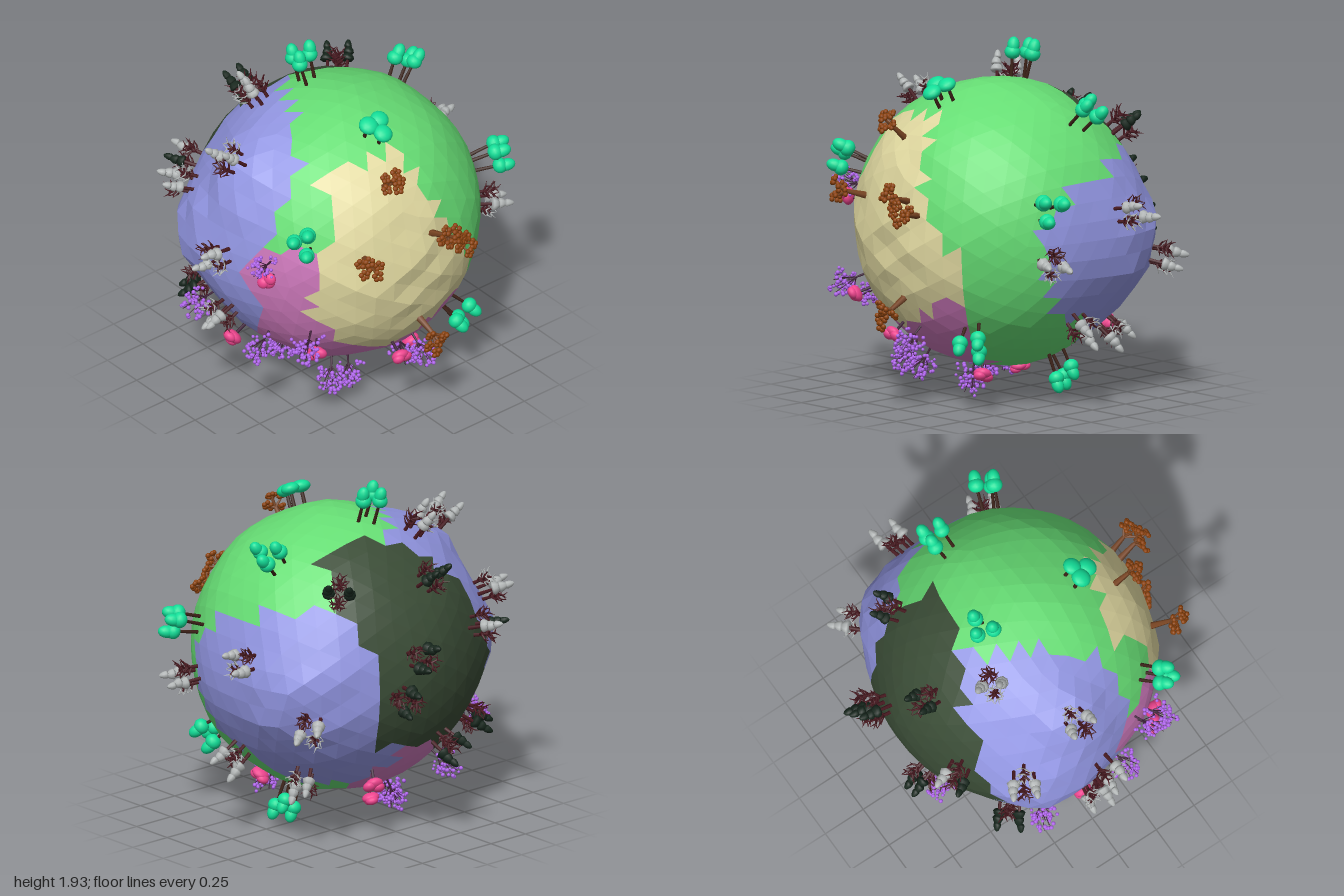
import * as THREE from 'three';

const R = 0.79, CY = 0.985, UP = new THREE.Vector3(0, 1, 0);
const V = (x, y, z) => new THREE.Vector3(x, y, z);
const mat = (color, flat = false) => new THREE.MeshStandardMaterial({ color, flatShading: flat });

let seed = 7;
const rnd = (a = 0, b = 1) => {
  seed = (seed * 16807) % 2147483647;
  return a + (b - a) * seed / 2147483647;
};

// Region outlines: desert and forest in (x, y), frost in (z, y)
const DESERT = [[-.38, 1.6], [.03, 1.63], [.12, 1.35], [.4, .9], [.38, .68], [.2, .62], [.05, .53], [-.2, .47],
  [-.42, .57], [-.6, .8], [-.58, 1.1], [-.43, 1.4], [-.46, 1.48]];
const FOREST = [[.05, 1.71], [.22, 1.7], [.4, 1.6], [.42, 1.3], [.28, 1.18], [.36, .88], [.27, .78], [.28, .6], [.01, .58],
  [-.26, .5], [-.5, .52], [-.62, .68], [-.6, .95], [-.49, 1.17], [-.47, 1.35], [-.28, 1.5], [-.18, 1.62]];
const FROST_LEFT = [[.14, 1.28], [-.12, 1.28], [-.14, 1.39], [-.31, 1.37], [-.55, 1.4], [-.8, 1.2], [-.8, .8], [-.62, .5],
  [-.44, .36], [-.15, .33], [-.03, .51], [.16, .54], [.28, .75], [.37, 1.04], [.24, 1.12]];
const FROST_RIGHT = [[-.8, 1.2], [-.62, 1.62], [-.33, 1.69], [-.2, 1.73], [-.02, 1.72], [.1, 1.65], [.23, 1.6], [.27, 1.48],
  [.25, 1.2], [.17, 1], [.2, .75], [.15, .55], [-.1, .48], [-.35, .52], [-.65, .7]];

function inside(poly, u, v) {
  let hit = false;
  poly.forEach(([x1, y1], i) => {
    const [x2, y2] = poly[(i + 1) % poly.length];
    if ((y1 > v) !== (y2 > v) && u < (x2 - x1) * (v - y1) / (y2 - y1) + x1) hit = !hit;
  });
  return hit;
}

function biomeAt(d) {
  const x = d.x * R, y = d.y * R + CY, z = d.z * R;
  if (z > 0 && inside(DESERT, x, y)) return 'desert';
  if (z < 0 && inside(FOREST, x, y)) return 'darkForest';
  if (inside(x > 0 ? FROST_LEFT : FROST_RIGHT, z, y)) return 'frost';
  if (y < 1.2 && x < 0.17 + 0.6 * z * z && (x < -0.4 || y < 0.68)) return 'blossom';
  return 'meadow';
}

// Frost hills and the desert basin: direction, height, width
const HILLS = [[V(-.9, 0, -.38), .105, .35], [V(-.76, .6, -.1), .08, .3], [V(.82, -.1, -.53), .095, .4],
  [V(-.12, .08, 1), -.025, .5]].map(([d, h, w]) => [d.normalize(), h, w]);

function radiusAt(d) {
  let r = R + 0.004 * Math.sin(9 * d.x + 2) * Math.sin(8 * d.y) + 0.004 * Math.sin(11 * d.z + 5 * d.x);
  for (const [c, h, w] of HILLS) {
    const g = Math.exp(-d.distanceToSquared(c) / (w * w));
    r += g * (h + 0.02 * Math.sin(17 * d.y + 9 * d.z) * Math.cos(15 * d.z - 12 * d.x));
  }
  return r;
}

const GROUND = { meadow: 0x66dd74, desert: 0xe0d8a0, frost: 0x9296e2, darkForest: 0x3a4c36, blossom: 0xcc78ba };

function makePlanet() {
  const planet = new THREE.Group();
  planet.name = 'planet';
  const p = new THREE.IcosahedronGeometry(1, 7).attributes.position;
  const faces = {};
  for (let i = 0; i < p.count; i += 3) {
    const c = [0, 1, 2].map(k => V().fromBufferAttribute(p, i + k).normalize());
    const mid = V().add(c[0]).add(c[1]).add(c[2]).normalize();
    const list = faces[biomeAt(mid)] ??= [];
    c.forEach(d => list.push(...d.clone().multiplyScalar(radiusAt(d)).toArray()));
  }
  for (const [name, list] of Object.entries(faces)) {
    const g = new THREE.BufferGeometry();
    g.setAttribute('position', new THREE.Float32BufferAttribute(list, 3));
    g.computeVertexNormals();
    const m = new THREE.Mesh(g, mat(GROUND[name], true));
    m.name = name + 'Ground';
    planet.add(m);
  }
  return planet;
}

const BALL = new THREE.IcosahedronGeometry(1, 2), BERRY = new THREE.IcosahedronGeometry(1, 1);
const TIER = new THREE.LatheGeometry([[0, 0], [.75, -.06], [1, .15], [.85, .5], [.5, .85], [0, 1]]
  .map(([x, y]) => new THREE.Vector2(x, y)), 8);
const M = {
  bark: mat(0x3b2016), leaf: mat(0x12de98), desertBark: mat(0x7a4522), rust: mat(0x8c420c), redBark: mat(0x4a1a21),
  snow: mat(0xb4b8b8), pine: mat(0x16261c), blossomBark: mat(0x40203a), violet: mat(0xb064ec), pink: mat(0xf04690),
};

function blob(g, name, geo, m, pos, sx, sy = sx) {
  const mesh = new THREE.Mesh(geo, m);
  mesh.name = name;
  mesh.position.copy(pos);
  mesh.scale.set(sx, sy, sx);
  g.add(mesh);
}

function stick(g, name, a, b, r0, r1, m) {
  const d = b.clone().sub(a), len = d.length();
  const mesh = new THREE.Mesh(new THREE.CylinderGeometry(r1, r0, len, 5), m);
  mesh.name = name;
  mesh.position.copy(a).addScaledVector(d, 0.5);
  mesh.quaternion.setFromUnitVectors(UP, d.normalize());
  g.add(mesh);
}

const polar = (a, r, y) => V(Math.cos(a) * r, y, Math.sin(a) * r);

// Trees grow along +y from the origin
function tallTree(g) {
  const h = rnd(.095, .145), top = polar(rnd(0, 6.3), .012, h);
  stick(g, 'trunk', V(0, -.03, 0), top, .011, .008, M.bark);
  blob(g, 'canopy', BALL, M.leaf, top, .044, .04);
  blob(g, 'canopyTop', BALL, M.leaf, top.clone().add(V(.006, .037, .004)), .034, .048);
}

function flatTree(g) {
  const top = polar(rnd(0, 6.3), .01, rnd(.08, .11));
  stick(g, 'trunk', V(0, -.03, 0), top, .012, .009, M.bark);
  blob(g, 'canopy', BALL, M.leaf, top, .053, .034);
}

function desertTree(g) {
  const fork = V(.01, .11, 0);
  stick(g, 'trunk', V(0, -.03, 0), fork, .022, .012, M.desertBark);
  for (let i = 0; i < 6; i++) {
    const tip = polar(i * 1.257 + rnd(0, .5), i ? .05 : .01, rnd(.115, .19));
    stick(g, 'branch', fork, tip, .009, .005, M.desertBark);
    for (let k = 0; k < 5; k++)
      blob(g, 'leafTuft', BERRY, M.rust, tip.clone().add(polar(k * 1.26, .019, rnd(-.006, .012))), .015, .013);
  }
}

function conifer(g, needles) {
  stick(g, 'trunk', V(0, -.03, 0), V(0, .1, 0), .012, .008, M.redBark);
  for (let i = 0; i < 3; i++)
    blob(g, 'needleTier', TIER, needles, polar(rnd(0, 6.3), .004, .075 + i * .037), .037 - i * .008, .047);
}

function bareTree(g, twigs) {
  stick(g, 'trunk', V(0, -.03, 0), V(0, .08, 0), .012, .007, M.redBark);
  for (let i = 0; i < 11; i++) {
    const a = i * 2.4, y = .03 + i * .006, mid = polar(a, .03, y + .018);
    stick(g, 'branch', V(0, y, 0), mid, .007, .005, M.redBark);
    stick(g, 'twig', mid, polar(a + .4, .05, y + .045), .005, .001, twigs);
    stick(g, 'twig', mid, polar(a - .5, .052, y + .025), .005, .001, twigs);
  }
}

function berryTree(g) {
  const fork = V(0, .05, 0);
  stick(g, 'trunk', V(0, -.03, 0), fork, .008, .005, M.blossomBark);
  for (let i = 0; i < 10; i++) {
    const tip = polar(i * 2.4, .015 + .055 * Math.sqrt(i / 10), .19 - i * .01);
    stick(g, 'branch', fork, tip, .003, .002, M.blossomBark);
    for (let k = 0; k < 6; k++)
      blob(g, 'blossom', BERRY, M.violet, tip.clone().add(V(rnd(-.022, .022), rnd(-.07, .012), rnd(-.022, .022))), rnd(.008, .012));
  }
}

function pinkTree(g) {
  const top = V(.015, .085, 0);
  stick(g, 'trunk', V(0, -.03, 0), top, .01, .007, M.blossomBark);
  blob(g, 'canopy', BALL, M.pink, top, .05, .03);
  blob(g, 'canopySide', BALL, M.pink, top.clone().add(V(.028, .012, .01)), .037, .026);
  blob(g, 'canopyTop', BALL, M.pink, top.clone().add(V(-.018, .02, -.012)), .034, .025);
}

const snowyPine = g => conifer(g, M.snow), frostedShrub = g => bareTree(g, M.snow);
const darkPine = g => conifer(g, M.pine), redShrub = g => bareTree(g, M.redBark);

// Groves: trees in each, then where they stand
const GROVES = [
  ['meadowGrove', [tallTree, tallTree, tallTree], [[-.04, 1.78, -.22], [.52, 1.58, -.1],
    [.7, 1.18, .33], [.38, .46, .55], [.38, .3, -.07], [-.58, 1.28, .45]]],
  ['flatMeadowGrove', [flatTree, flatTree, flatTree], [[-.04, 1.7, .37]]],
  ['desertGrove', [desertTree], [[-.14, 1.51, .58], [-.36, 1.17, .68], [0, .65, .7], [.06, 1.2, .74], [.14, 1.13, .74]]],
  ['frostGrove', [snowyPine, frostedShrub, snowyPine, redShrub], [[-.28, 1.66, -.33], [-.62, 1.52, -.06], [-.8, 1.06, .02],
    [-.67, 1.24, -.4], [-.7, .68, -.02], [.78, 1.11, -.18], [.72, .9, .31], [.6, .83, -.5],
    [.62, .55, .03], [.5, .46, -.32]]],
  ['borderGrove', [snowyPine, redShrub, darkPine, redShrub], [[-.42, 1.16, -.64]]],
  ['darkGrove', [darkPine, redShrub, darkPine, redShrub], [[-.1, 1.46, -.6], [.4, 1.46, -.48], [.2, .93, -.76],
    [-.54, .6, -.4], [.1, 1.13, -.76], [-.16, .6, -.67]]],
  ['berryTreeSpot', [berryTree], [[-.73, 1.12, .31], [-.55, .68, .45], [-.64, .58, .2], [-.65, .58, -.28], [-.3, .32, .32],
    [-.2, .26, .34], [-.17, .23, -.24], [-.22, .25, -.14], [.03, .49, .6], [.16, .25, .33], [-.2, .48, -.57]]],
  ['pinkTreeSpot', [pinkTree], [[-.73, 1.04, .33], [-.52, .6, .46], [-.62, .49, -.03], [-.11, .49, .6], [.21, .29, .32],
    [-.07, .2, -.2], [.2, .46, -.53]]],
];

function plantGrove(name, trees, [x, y, z]) {
  const grove = new THREE.Group();
  grove.name = name;
  const n = V(x, y - CY, z).normalize();
  const side = V(n.z, 0.2, -n.x).cross(n).normalize(), other = n.clone().cross(side);
  const spin = rnd(0, 6.3), spread = trees.length > 1 ? 0.064 : 0;
  trees.forEach((grow, i) => {
    const a = spin + i * 2 * Math.PI / trees.length;
    const d = n.clone().addScaledVector(side, Math.cos(a) * spread).addScaledVector(other, Math.sin(a) * spread).normalize();
    const tree = new THREE.Group();
    tree.name = grow.name;
    grow(tree);
    tree.scale.setScalar(rnd(.96, 1.06));
    tree.position.copy(d).multiplyScalar(radiusAt(d));
    tree.quaternion.setFromUnitVectors(UP, d);
    grove.add(tree);
  });
  return grove;
}

export function createModel() {
  seed = 7;
  const model = new THREE.Group(), world = new THREE.Group();
  model.name = 'tinyPlanet';
  world.name = 'world';
  world.position.y = CY;
  world.add(makePlanet());
  for (const [name, trees, spots] of GROVES) spots.forEach(s => world.add(plantGrove(name, trees, s)));
  model.add(world);
  return model;
}
